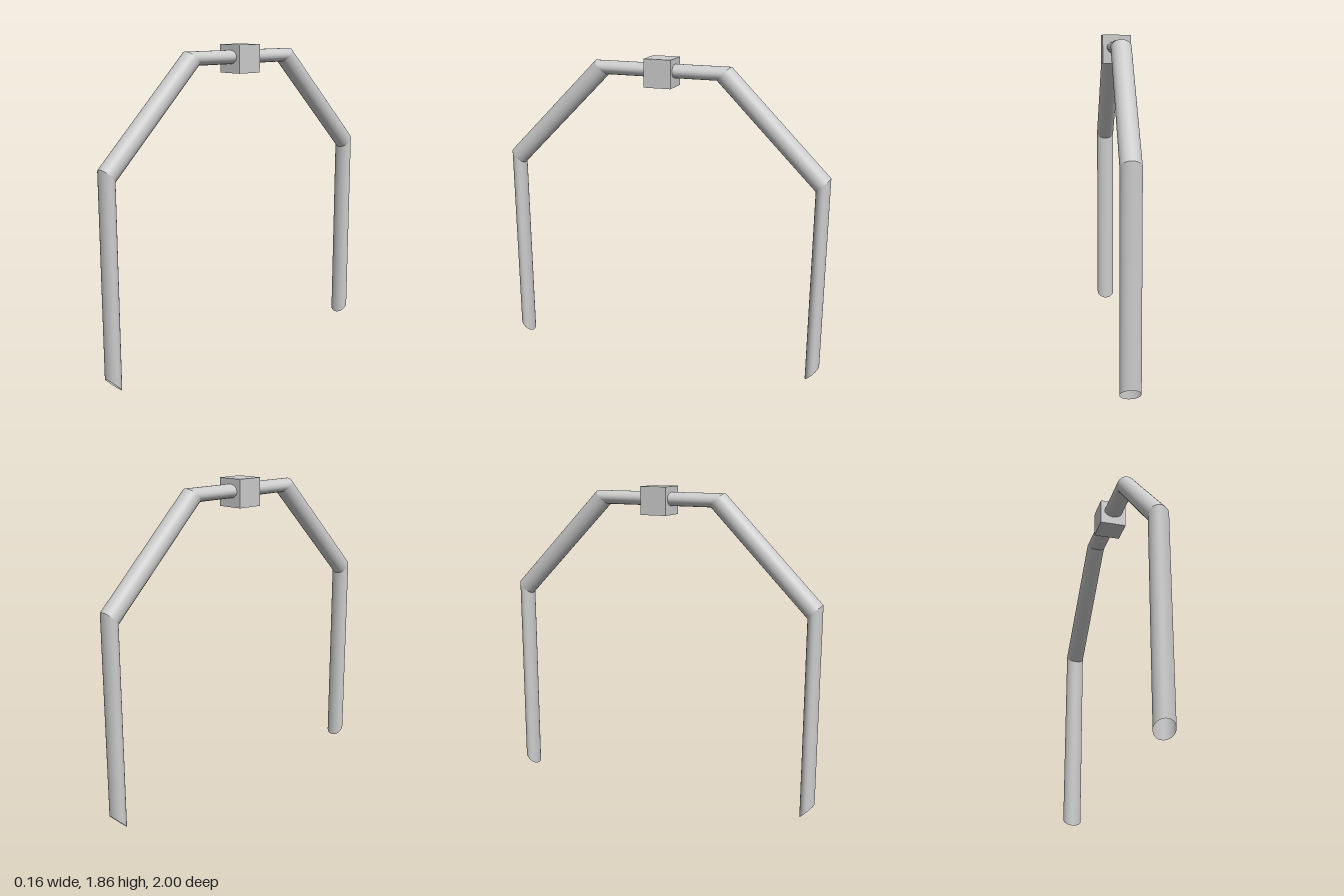
import * as THREE from 'three';

const SIDES = 40;
const RADIUS = 0.057;
const SLANT = 0.04; // half extent of each 45 degree mitre ring in y and z

// One straight pipe length between two slanted mitre rings {z, y, lean}
function pipe(name, from, to, material) {
  const positions = [], index = [];
  for (const ring of [from, to]) {
    for (let i = 0; i < SIDES; i++) {
      const a = (i / SIDES) * Math.PI * 2;
      const s = SLANT * Math.sin(a);
      positions.push(RADIUS * Math.cos(a), ring.y + s, ring.z + ring.lean * s);
    }
  }
  for (let i = 0; i < SIDES; i++) {
    const j = (i + 1) % SIDES;
    index.push(i, SIDES + i, j, j, SIDES + i, SIDES + j);
  }
  const geometry = new THREE.BufferGeometry();
  geometry.setAttribute('position', new THREE.Float32BufferAttribute(positions, 3));
  geometry.setIndex(index);
  geometry.computeVertexNormals();
  const mesh = new THREE.Mesh(geometry, material);
  mesh.name = name;
  return mesh;
}

export function createModel() {
  const model = new THREE.Group();
  model.name = 'pipeArch';
  const material = new THREE.MeshStandardMaterial({ color: 0xcccccc });
  const pipeMaterial = new THREE.MeshStandardMaterial({ color: 0xcccccc, side: THREE.DoubleSide });

  // Mitre rings of the front half, mirrored for the back half
  const front = [[0.96, 0.04], [0.96, 1.205], [0.373, 1.79]].map(([z, y]) => ({ z, y, lean: 1 }));
  const back = front.map(({ z, y }) => ({ z: -z, y, lean: -1 })).reverse();
  const rings = [...front, ...back];

  // Open-ended legs, sloping braces and the level top pipe
  const names = ['frontLeg', 'frontBrace', 'topPipe', 'backBrace', 'backLeg'];
  names.forEach((name, i) => model.add(pipe(name, rings[i], rings[i + 1], pipeMaterial)));

  // Square block around the middle of the top pipe
  const block = new THREE.Mesh(new THREE.BoxGeometry(0.163, 0.163, 0.163), material);
  block.name = 'centreBlock';
  block.position.y = 1.78;
  model.add(block);

  return model;
}
